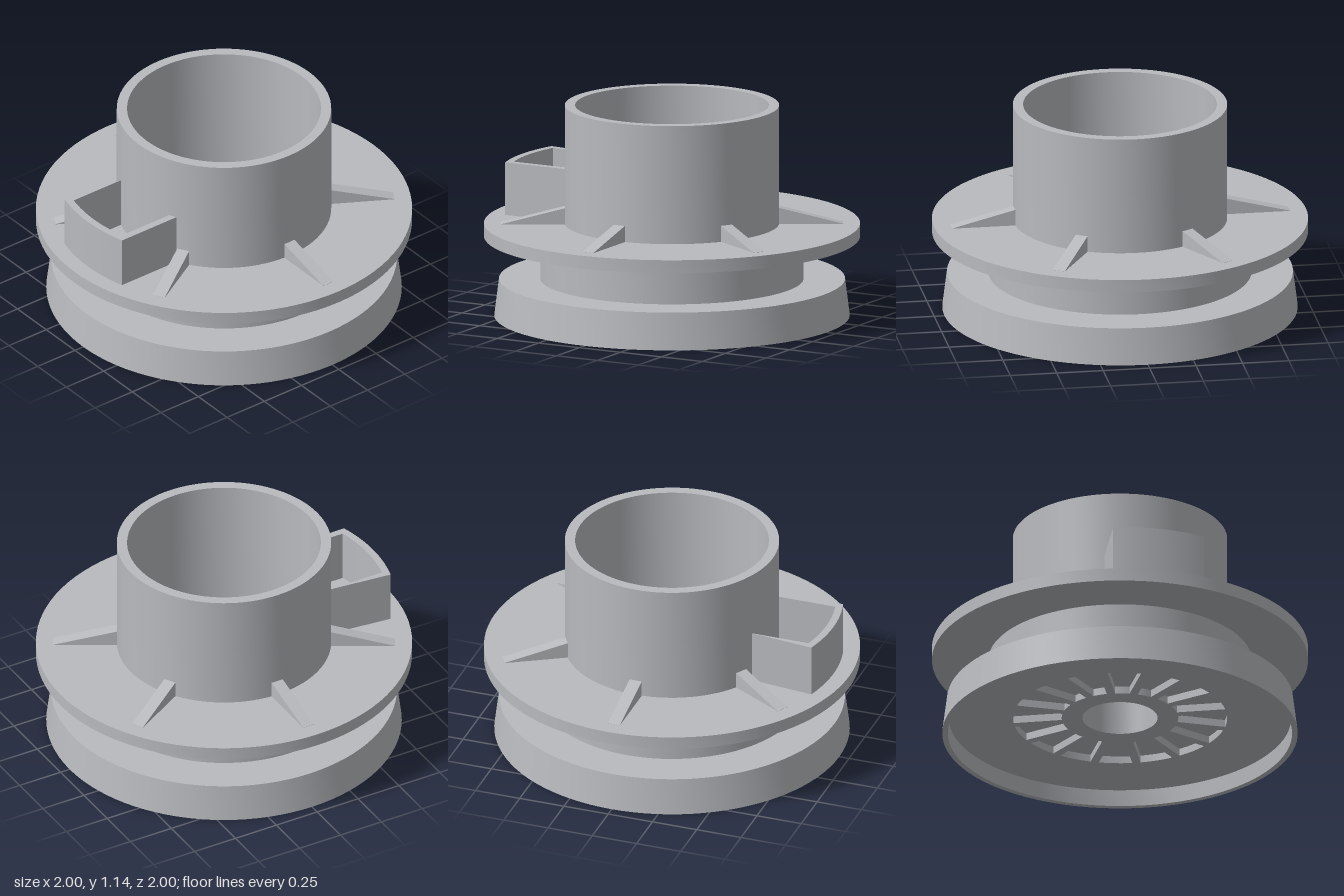
import * as THREE from 'three';
import { toCreasedNormals } from 'three/addons/utils/BufferGeometryUtils.js';

export function createModel() {
  const model = new THREE.Group();
  const grey = new THREE.MeshStandardMaterial({ color: 0xb8babe });
  grey.name = 'grey plastic';

  const add = (name, geometry, parent = model) => {
    const mesh = new THREE.Mesh(geometry, grey);
    mesh.name = name;
    parent.add(mesh);
    return mesh;
  };

  // Turned parts: [radius, height] profiles that join end to end into one hollow body
  const turned = (name, profile) => {
    const points = profile.map(([r, y]) => new THREE.Vector2(r, y));
    add(name, toCreasedNormals(new THREE.LatheGeometry(points, 96), 0.5));
  };
  turned('hubUnderside', [[0.2, 0.09], [0.31, 0.09], [0.31, 0.13], [0.57, 0.13], [0.57, 0.09]]);
  turned('lowerFlange', [[0.57, 0.09], [0.91, 0.09], [0.915, 0], [0.945, 0], [0.92, 0.2], [0.7, 0.2]]);
  turned('drum', [[0.7, 0.2], [0.7, 0.43]]);
  turned('upperFlange', [[0.7, 0.43], [1, 0.43], [1, 0.5], [0.57, 0.5]]);
  turned('collar', [[0.57, 0.5], [0.57, 1.14], [0.515, 1.14], [0.515, 0.2]]);
  turned('floorAndBore', [[0.515, 0.2], [0.225, 0.2], [0.225, 0.45], [0.2, 0.45], [0.2, 0.09]]);

  // Radial spokes in the groove underneath
  const spokes = new THREE.Group();
  spokes.name = 'spokes';
  model.add(spokes);
  const spoke = new THREE.BoxGeometry(0.265, 0.05, 0.045).translate(0.4375, 0.115, 0);
  for (let i = 0; i < 16; i++) add('spoke', spoke, spokes).rotation.y = (i * Math.PI) / 8;

  // Six sloping gussets between collar and upper flange
  const gussets = new THREE.Group();
  gussets.name = 'gussets';
  model.add(gussets);
  const wedge = new THREE.Shape();
  wedge.moveTo(0.55, 0.495);
  wedge.lineTo(0.91, 0.495);
  wedge.lineTo(0.91, 0.501);
  wedge.lineTo(0.57, 0.587);
  wedge.lineTo(0.55, 0.587);
  const gusset = new THREE.ExtrudeGeometry(wedge, { depth: 0.068, bevelEnabled: false });
  gusset.translate(0, 0, -0.034);
  for (let i = 0; i < 6; i++) {
    add('gusset', gusset, gussets).rotation.y = Math.PI / 6 + (i * Math.PI) / 3;
  }

  // Open pocket with a curved outer wall on the right side
  const wall = new THREE.Shape();
  const outer = Math.asin(0.25 / 0.912);
  const inner = Math.asin(0.21 / 0.872);
  wall.moveTo(-0.51, 0.25);
  wall.absarc(0, 0, 0.912, Math.PI - outer, Math.PI + outer, false);
  wall.lineTo(-0.51, -0.25);
  wall.lineTo(-0.51, -0.21);
  wall.absarc(0, 0, 0.872, Math.PI + inner, Math.PI - inner, true);
  wall.lineTo(-0.51, 0.21);
  const pocket = new THREE.ExtrudeGeometry(wall, { depth: 0.29, bevelEnabled: false, curveSegments: 12 });
  pocket.rotateX(-Math.PI / 2).translate(0, 0.495, 0);
  add('sidePocket', toCreasedNormals(pocket, 0.5));

  return model;
}
